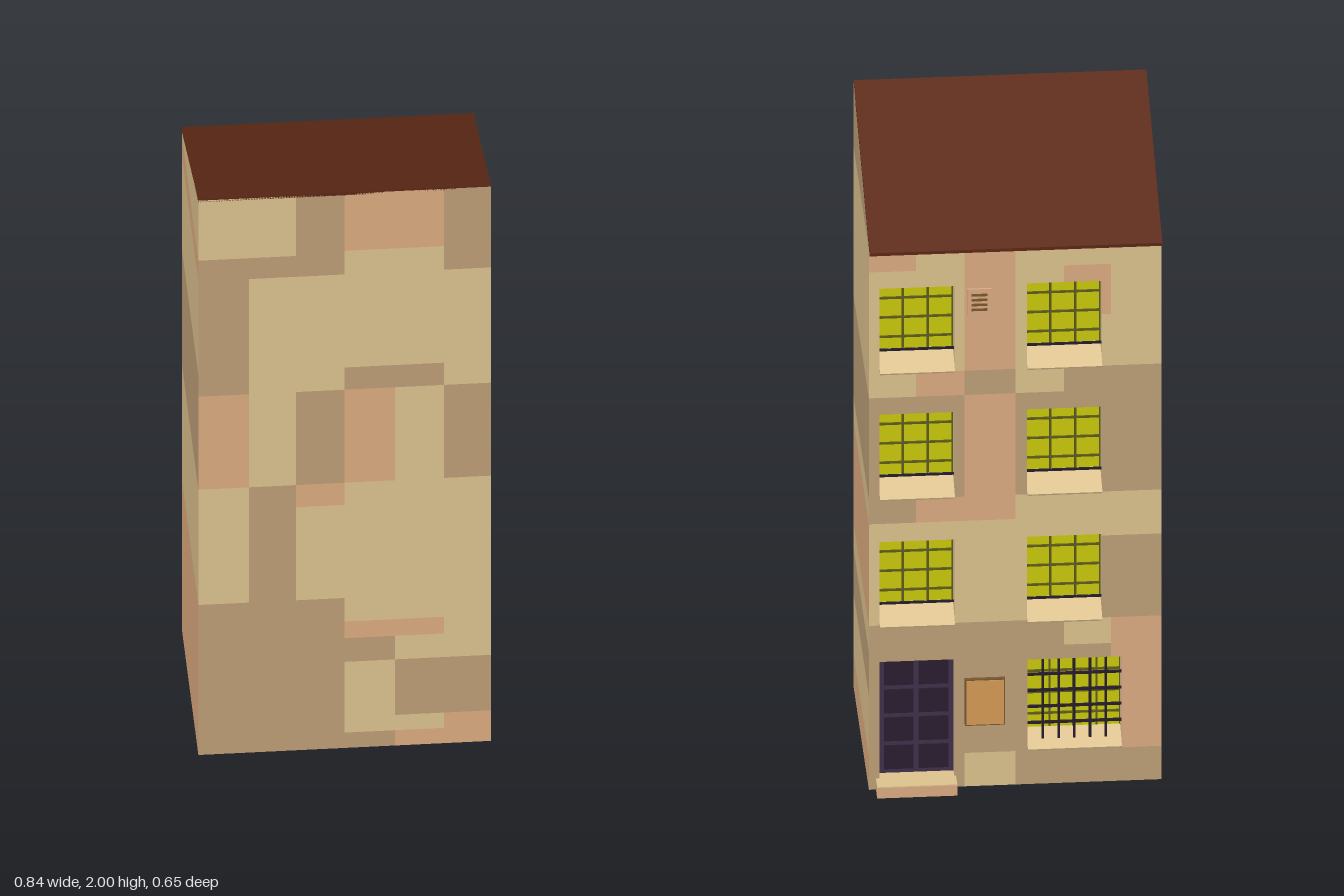
import * as THREE from 'three';

const COLORS = { L: 0xdcc28e, B: 0xbd9e76, S: 0xdcab80 };
const mat = (color, extra = {}) => new THREE.MeshStandardMaterial({ color, flatShading: true, ...extra });
const plaster = Object.fromEntries(Object.entries(COLORS).map(([k, c]) => [k, mat(c, { side: THREE.DoubleSide })]));
const glass = mat(0xc8c80c), frameMat = mat(0x5d5a1c), iron = mat(0x241c2a);
const doorMat = mat(0x40304a), doorDark = mat(0x2a1d30), roofMat = mat(0x5c2815), signMat = mat(0xd49a55), signEdge = mat(0x7a5630);

const X = 0.42, FRONT = 0.325, BACK = -0.27;
const roofY = (z) => 2 - (FRONT - z) * 0.344;
const COLS = [-X, -0.275, -0.14, 0, 0.145, 0.285, X];

function box(parent, name, m, x0, x1, y0, y1, z0, z1) {
  const mesh = new THREE.Mesh(new THREE.BoxGeometry(x1 - x0, y1 - y0, z1 - z0), m);
  mesh.position.set((x0 + x1) / 2, (y0 + y1) / 2, (z0 + z1) / 2);
  mesh.name = name;
  parent.add(mesh);
  return mesh;
}

// Wall of coloured plaster patches. Each column lists [colour, top] from the ground up; place maps (u, v) to space.
function patchWall(name, us, columns, place, holes = []) {
  const wall = new THREE.Group();
  wall.name = name;
  const verts = { L: [], B: [], S: [] };
  const sorted = (a) => [...new Set(a)].sort((p, q) => p - q);
  const cutsU = sorted([...us, ...holes.flatMap((h) => [h[0], h[1]])]);
  const cutsV = sorted([0, ...columns.flat().map((p) => p[1]), ...holes.flatMap((h) => [h[2], h[3]])]);
  for (let i = 0; i + 1 < cutsU.length; i++) {
    for (let j = 0; j + 1 < cutsV.length; j++) {
      const [u0, u1, v0, v1] = [cutsU[i], cutsU[i + 1], cutsV[j], cutsV[j + 1]];
      const u = (u0 + u1) / 2, v = (v0 + v1) / 2;
      if (holes.some((h) => u > h[0] && u < h[1] && v > h[2] && v < h[3])) continue;
      const patch = columns[us.findIndex((c) => c > u) - 1].find((p) => v < p[1]);
      if (!patch) continue;
      const [a, b, c, d] = [place(u0, v0), place(u1, v0), place(u1, v1), place(u0, v1)];
      verts[patch[0]].push(...a, ...b, ...c, ...a, ...c, ...d);
    }
  }
  for (const key in verts) {
    if (!verts[key].length) continue;
    const g = new THREE.BufferGeometry();
    g.setAttribute('position', new THREE.Float32BufferAttribute(verts[key], 3));
    g.computeVertexNormals();
    const mesh = new THREE.Mesh(g, plaster[key]);
    mesh.name = name + 'Patch';
    wall.add(mesh);
  }
  return wall;
}

// Four inner faces of an opening
function reveal(parent, [x0, x1, y0, y1], depth) {
  const t = 0.006, z0 = BACK + 0.001, z1 = BACK + depth;
  box(parent, 'jamb', plaster.L, x0 - t, x0, y0, y1, z0, z1);
  box(parent, 'jamb', plaster.L, x1, x1 + t, y0, y1, z0, z1);
  box(parent, 'lintel', plaster.B, x0, x1, y1, y1 + t, z0, z1);
  box(parent, 'threshold', plaster.L, x0, x1, y0 - t, y0, z0, z1);
}

// Evenly spaced bars over an opening
function bars(parent, name, m, [x0, x1, y0, y1], nx, ny, w, z, edges) {
  const s = edges ? 0 : 1;
  for (let i = s; i <= nx - s; i++) {
    const x = x0 + ((x1 - x0) * i) / nx;
    box(parent, name, m, x - w / 2, x + w / 2, y0, y1, z - w / 2, z + w / 2);
  }
  for (let j = s; j <= ny - s; j++) {
    const y = y0 + ((y1 - y0) * j) / ny;
    box(parent, name, m, x0, x1, y - w / 2, y + w / 2, z - w / 2, z + w / 2);
  }
}

function sill(parent, x0, x1, y, reach) {
  const len = 0.06 + reach;
  const m = box(parent, 'sill', plaster.L, x0, x1, -0.003, 0.003, -len / 2, len / 2);
  const mid = BACK + 0.06 - len / 2;
  m.position.set((x0 + x1) / 2, y + (mid - BACK) * 0.42, mid);
  m.rotation.x = -0.4;
}

function makeWindow(hole, grille) {
  const w = new THREE.Group();
  const [x0, x1, y0, y1] = hole;
  w.name = grille ? 'barredWindow' : 'window';
  reveal(w, hole, 0.065);
  box(w, 'glass', glass, x0, x1, y0, y1, BACK + 0.06, BACK + 0.065);
  bars(w, 'glazingBar', frameMat, hole, grille ? 4 : 3, 4, 0.006, BACK + 0.058, true);
  sill(w, x0, x1, y0, grille ? 0.022 : 0.032);
  if (grille) bars(w, 'grilleBar', iron, [x0, x1, y0 + 0.015, y1], 6, 5, 0.007, BACK + 0.008, false);
  else box(w, 'safetyRail', iron, x0, x1, y0 + 0.045, y0 + 0.051, BACK + 0.006, BACK + 0.012);
  return w;
}

export function createModel() {
  const house = new THREE.Group();
  house.name = 'townHouse';

  // Openings of the street facade: [x0, x1, y0, y1]
  const windows = [];
  for (const y of [0.56, 0.98, 1.395])
    for (const x of [0.175, -0.248]) windows.push([x, x + 0.215, y, y + 0.255]);
  const barred = [-0.305, -0.035, 0.13, 0.41];
  const door = [0.175, 0.39, 0.035, 0.42];

  // Plain wall, +z
  house.add(patchWall('plainWall', COLS, [
    [['B', 0.54], ['L', 0.955], ['S', 1.29], ['B', 1.78], ['L', 2]],
    [['B', 0.955], ['L', 1.705], ['B', 1.78], ['L', 2]],
    [['B', 0.54], ['L', 0.875], ['S', 0.955], ['B', 1.29], ['L', 1.705], ['B', 2]],
    [['B', 0.055], ['L', 0.31], ['B', 0.395], ['S', 0.455], ['L', 0.955], ['S', 1.29], ['B', 1.37], ['L', 1.79], ['S', 2]],
    [['S', 0.055], ['L', 0.11], ['B', 0.31], ['L', 0.395], ['S', 0.455], ['L', 1.29], ['B', 1.37], ['L', 1.79], ['S', 2]],
    [['S', 0.11], ['B', 0.31], ['L', 0.955], ['B', 1.29], ['L', 1.705], ['B', 2]],
  ], (u, v) => [u, Math.min(v, 1.996), FRONT]));

  // Side walls, cut off along the roof slope
  const clip = (v, z) => Math.min(v, roofY(z) - 0.003);
  house.add(patchWall('leftWall', [-FRONT, -BACK], [
    [['S', 0.11], ['L', 0.31], ['B', 0.455], ['L', 0.54], ['S', 0.875], ['L', 0.955], ['B', 1.29], ['L', 1.78], ['B', 2]],
  ], (u, v) => [X, clip(v, -u), -u]));
  house.add(patchWall('rightWall', [BACK, FRONT], [
    [['S', 0.54], ['L', 0.955], ['B', 1.37], ['L', 1.705], ['S', 1.78], ['L', 2]],
  ], (u, v) => [-X, clip(v, u), u]));

  // Street facade, -z, columns listed from the door side
  const holes = [...windows, barred, door].map(([a, b, c, d]) => [-b, -a, c, d]);
  house.add(patchWall('facade', COLS.map((x) => -x).reverse(), [
    [['B', 0.54], ['L', 0.875], ['B', 1.29], ['L', 1.705], ['S', 1.8]],
    [['B', 0.54], ['L', 0.875], ['S', 0.955], ['B', 1.29], ['S', 1.37], ['L', 1.8]],
    [['L', 0.11], ['B', 0.54], ['L', 0.875], ['S', 1.29], ['B', 1.37], ['S', 1.8]],
    [['B', 0.54], ['L', 0.955], ['B', 1.29], ['L', 1.8]],
    [['B', 0.455], ['L', 0.54], ['B', 0.81], ['L', 0.955], ['B', 1.37], ['L', 1.54], ['S', 1.705], ['L', 1.8]],
    [['B', 0.11], ['S', 0.54], ['B', 0.81], ['L', 0.955], ['B', 1.37], ['L', 1.8]],
  ], (u, v) => [-u, clip(v, BACK), BACK], holes));

  // Underside, striped along x
  house.add(patchWall('base', [-X, X], [[['B', 0.2], ['L', 0.345], ['B', FRONT - BACK]]],
    (u, v) => [u, 0, BACK + v]));

  // Sloping roof slab with a small eave over the street
  const s = new THREE.Shape([[-FRONT, 2], [-FRONT, 1.99], [0.3, roofY(-0.3) - 0.01], [0.3, roofY(-0.3)]]
    .map(([a, b]) => new THREE.Vector2(a, b)));
  const roof = new THREE.Mesh(new THREE.ExtrudeGeometry(s, { depth: 2 * X, bevelEnabled: false }), roofMat);
  roof.rotation.y = Math.PI / 2;
  roof.position.x = -X;
  roof.name = 'roof';
  house.add(roof);

  // Windows
  for (const w of windows) house.add(makeWindow(w, false));
  house.add(makeWindow(barred, true));

  // Panelled double door with step
  const entry = new THREE.Group();
  entry.name = 'entrance';
  house.add(entry);
  reveal(entry, door, 0.04);
  box(entry, 'door', doorMat, door[0], door[1], door[2], door[3], BACK + 0.03, BACK + 0.038);
  for (let i = 0; i < 2; i++)
    for (let j = 0; j < 4; j++) {
      const x = door[0] + 0.015 + i * 0.1, y = 0.05 + j * 0.092;
      box(entry, 'doorPanel', doorDark, x, x + 0.085, y, y + 0.078, BACK + 0.027, BACK + 0.03);
    }
  box(entry, 'step', plaster.S, 0.17, 0.4, 0, 0.034, -0.322, BACK + 0.001);
  box(entry, 'stepTop', plaster.L, 0.17, 0.4, 0.034, 0.037, -0.322, BACK + 0.03);

  // Notice board
  box(house, 'boardFrame', signEdge, 0.03, 0.145, 0.205, 0.357, -0.281, BACK);
  box(house, 'board', signMat, 0.034, 0.141, 0.209, 0.353, -0.283, -0.28);

  // Louvred vent
  const vent = new THREE.Group();
  vent.name = 'vent';
  house.add(vent);
  box(vent, 'ventFrame', plaster.S, 0.068, 0.138, 1.555, 1.64, -0.276, BACK);
  for (let i = 0; i < 4; i++)
    box(vent, 'louvre', signEdge, 0.08, 0.126, 1.57 + i * 0.016, 1.577 + i * 0.016, -0.279, -0.275);

  return house;
}
